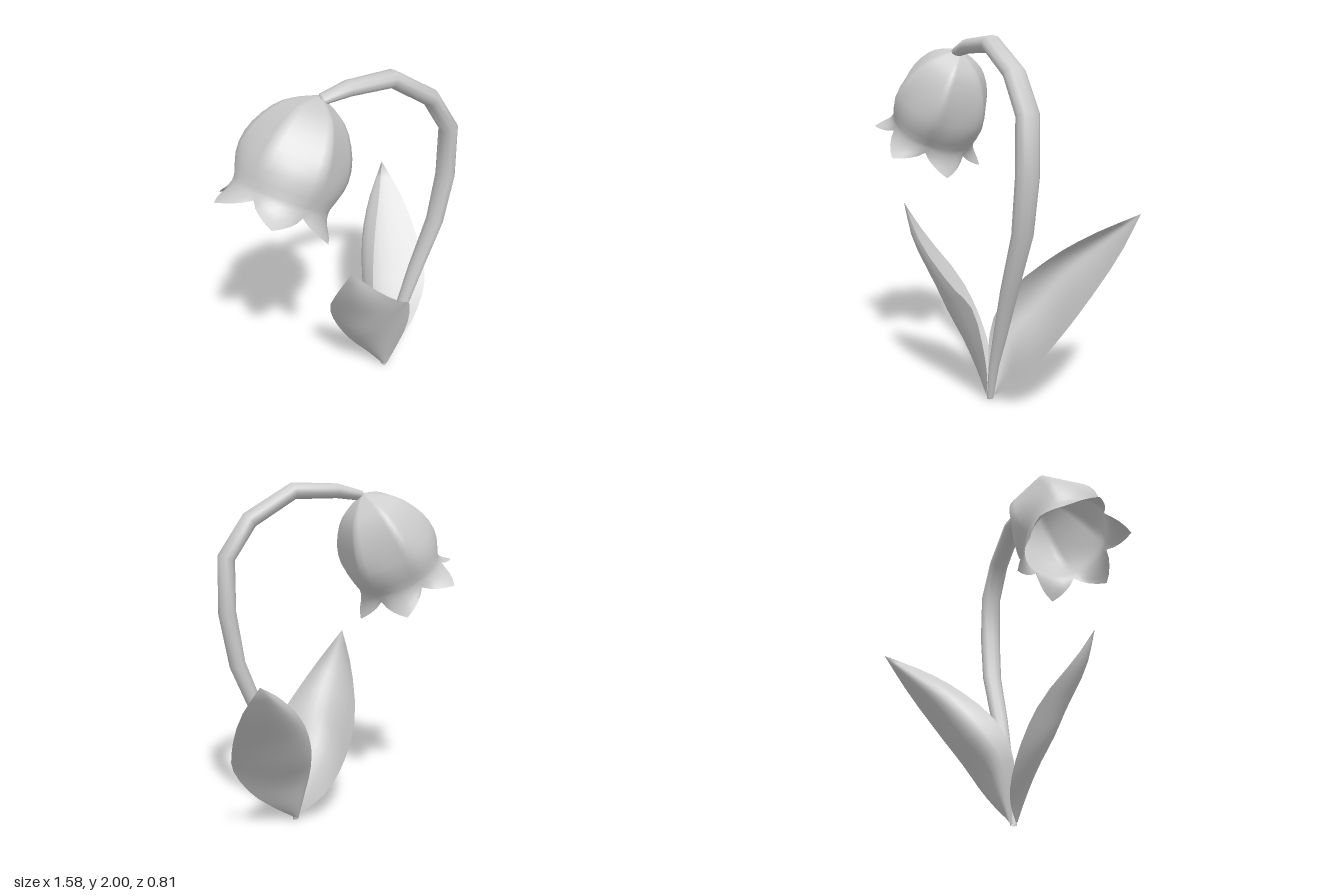
import * as THREE from 'three';
import { mergeVertices } from 'three/addons/utils/BufferGeometryUtils.js';

const V = (p) => new THREE.Vector3(...p);
const curve = (pts) => new THREE.CatmullRomCurve3(pts.map(V), false, 'centripetal');

// Smooth surface from a rule fn(u, v) -> Vector3, with u across and v along
function surface(name, nu, nv, fn) {
  let geo = new THREE.PlaneGeometry(1, 1, nu, nv);
  const pos = geo.attributes.position, uv = geo.attributes.uv;
  for (let i = 0; i < pos.count; i++) {
    const p = fn(uv.getX(i), uv.getY(i));
    pos.setXYZ(i, p.x, p.y, p.z);
  }
  geo.deleteAttribute('uv');
  geo.deleteAttribute('normal');
  geo = mergeVertices(geo, 1e-4);
  geo.computeVertexNormals();
  const mesh = new THREE.Mesh(geo, new THREE.MeshStandardMaterial({ color: 0xcccccc, side: THREE.DoubleSide }));
  mesh.name = name;
  return mesh;
}

// Arching stem: x, y, z, radius at each bend
function stem() {
  const rows = [
    [0.22, 0, 0.17, 0.02], [0.26, 0.2, 0.18, 0.03], [0.32, 0.38, 0.195, 0.04],
    [0.42, 0.68, 0.22, 0.052], [0.54, 1.0, 0.25, 0.06], [0.585, 1.3, 0.265, 0.065],
    [0.58, 1.6, 0.262, 0.064], [0.45, 1.8, 0.225, 0.062], [0.21, 1.952, 0.155, 0.06],
    [-0.04, 1.95, 0.09, 0.052], [-0.18, 1.922, 0.052, 0.036], [-0.2, 1.915, 0.048, 0],
  ];
  const path = curve(rows.map((r) => r.slice(0, 3)));
  const n = rows.length - 1;
  const side = new THREE.Vector3(-0.27, 0, 0.96).normalize();
  return surface('stem', 10, n, (u, v) => {
    const r = rows[Math.round(v * n)][3], a = u * Math.PI * 2;
    const out = path.getTangent(v).cross(side).normalize();
    return path.getPoint(v)
      .addScaledVector(out, Math.cos(a) * r * 0.78)
      .addScaledVector(side, Math.sin(a) * r);
  });
}

// Cupped leaf, bowed through its two edges and a rib lying at fraction t across
function leaf(name, t, left, rib, right) {
  const [l, m, r] = [left, rib, right].map(curve);
  return surface(name, 10, 14, (u, v) => {
    const a = l.getPoint(v), b = m.getPoint(v), c = r.getPoint(v);
    const ctrl = b.addScaledVector(a, -(1 - t) * (1 - t)).addScaledVector(c, -t * t).divideScalar(2 * t * (1 - t));
    return new THREE.QuadraticBezierCurve3(a, ctrl, c).getPoint(u);
  });
}

// Nodding bell: six-sided body rounding out to six flared, pointed lobes
function bell() {
  const top = V([-0.17, 1.935, 0.03]);
  const axis = V([-0.51, -0.86, -0.02]).normalize();
  const across = V([0.86, -0.51, 0]).normalize();
  const side = V([0, 0, 1]);
  const profile = new THREE.SplineCurve([
    [0, 0], [0.05, 0.1], [0.12, 0.185], [0.25, 0.258], [0.39, 0.285], [0.52, 0.256],
  ].map((p) => new THREE.Vector2(...p)));
  const split = 0.75;
  return surface('bellFlower', 48, 16, (u, v) => {
    const k = u * 6;
    const off = k - Math.round(k);
    const lobe = 1 - 2 * Math.abs(off);
    const hex = 0.91 / Math.cos(off * Math.PI / 3);
    const p = profile.getPoint(Math.min(1, v / split));
    const s = Math.max(0, (v - split) / (1 - split));
    const d = p.x + s * (0.055 + 0.085 * Math.pow(lobe, 0.8));
    const round = THREE.MathUtils.smoothstep(v, 0.45, split);
    const r = p.y * THREE.MathUtils.lerp(hex, 1, round) + s * s * 0.09 * lobe - s * 0.005;
    const a = u * Math.PI * 2 + 0.244;
    return top.clone().addScaledVector(axis, d)
      .addScaledVector(across, Math.cos(a) * r)
      .addScaledVector(side, Math.sin(a) * r);
  });
}

export function createModel() {
  const model = new THREE.Group();
  model.name = 'bellFlowerPlant';
  model.add(stem(), bell());
  model.add(leaf('frontLeaf', 0.5,
    [[0.21, 0.01, 0.18], [0.15, 0.1, 0.09], [0.07, 0.2, 0.03], [-0.04, 0.38, 0.01], [-0.15, 0.6, 0.06], [-0.255, 0.88, 0.24], [-0.285, 1.08, 0.37]],
    [[0.21, 0.02, 0.19], [0.16, 0.13, 0.2], [0.07, 0.31, 0.23], [-0.03, 0.48, 0.27], [-0.1, 0.65, 0.31], [-0.22, 0.88, 0.36], [-0.285, 1.08, 0.37]],
    [[0.22, 0.02, 0.2], [0.26, 0.14, 0.23], [0.29, 0.35, 0.29], [0.25, 0.57, 0.335], [0.13, 0.67, 0.37], [-0.09, 0.87, 0.4], [-0.285, 1.08, 0.37]]));
  model.add(leaf('backLeaf', 0.3,
    [[0.22, 0.01, 0.15], [0.195, 0.2, 0.16], [0.18, 0.42, 0.12], [0.24, 0.6, 0.04], [0.41, 0.8, -0.11], [0.58, 0.935, -0.24], [0.785, 1.06, -0.41]],
    [[0.22, 0.01, 0.14], [0.21, 0.17, 0.09], [0.21, 0.36, 0.02], [0.28, 0.52, -0.09], [0.41, 0.73, -0.22], [0.57, 0.89, -0.32], [0.785, 1.06, -0.41]],
    [[0.24, 0.02, 0.16], [0.37, 0.11, 0.17], [0.52, 0.24, 0.17], [0.66, 0.43, 0.12], [0.73, 0.6, 0], [0.79, 0.86, -0.22], [0.785, 1.06, -0.41]]));
  return model;
}
